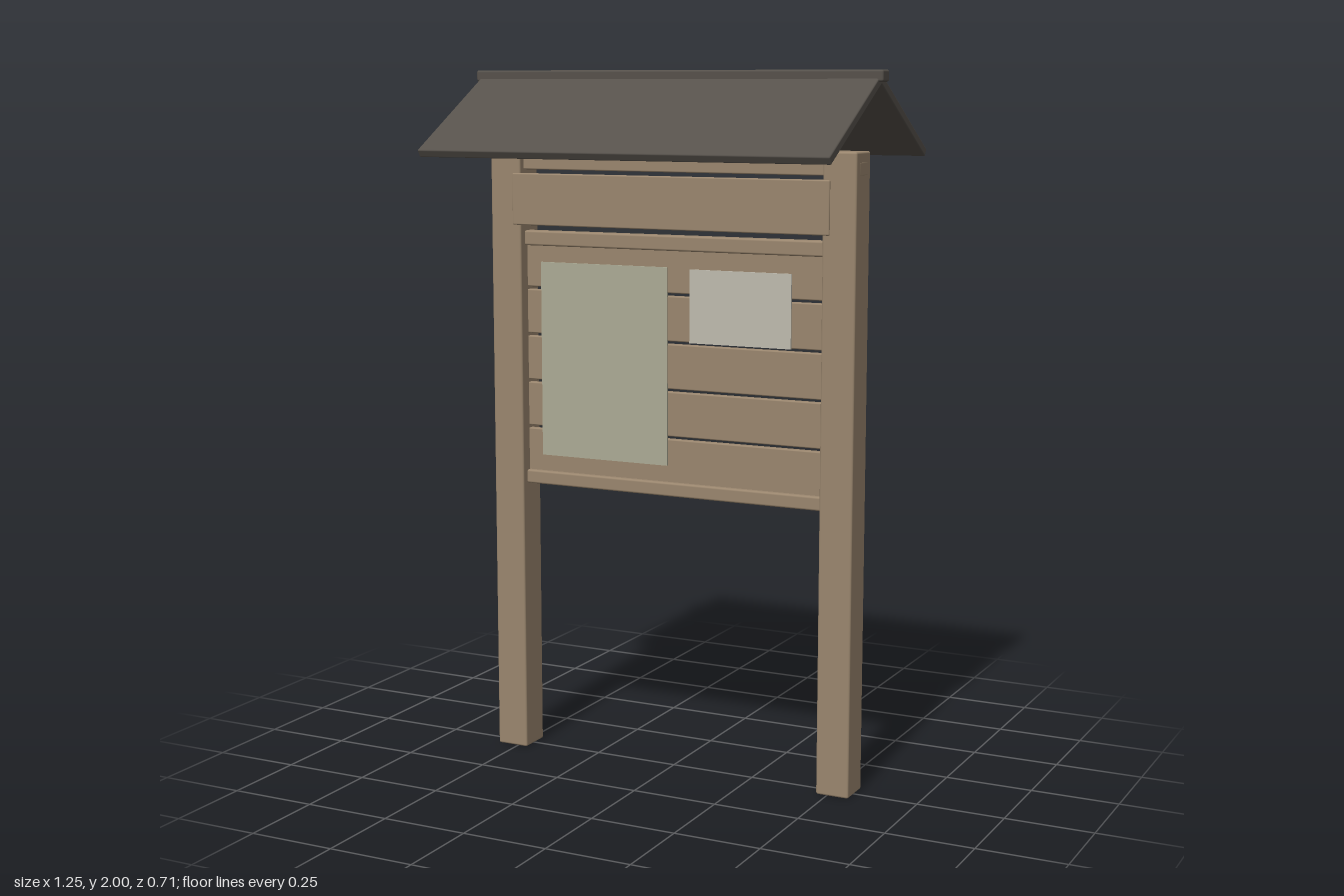
import * as THREE from 'three';
import { RoundedBoxGeometry } from 'three/addons/geometries/RoundedBoxGeometry.js';

const wood = new THREE.MeshStandardMaterial({ color: 0x9a866e });
const slate = new THREE.MeshStandardMaterial({ color: 0x56514b });
const greenPaper = new THREE.MeshStandardMaterial({ color: 0xacab95 });
const whitePaper = new THREE.MeshStandardMaterial({ color: 0xbfbbae });

// Softly bevelled block given by its [min, max] range on each axis
function block(name, material, [x0, x1], [y0, y1], [z0, z1], bevel = 0.004) {
  const w = x1 - x0, h = y1 - y0, d = z1 - z0;
  const geometry = bevel
    ? new RoundedBoxGeometry(w, h, d, 2, bevel)
    : new THREE.BoxGeometry(w, h, d);
  const mesh = new THREE.Mesh(geometry, material);
  mesh.name = name;
  mesh.position.set((x0 + x1) / 2, (y0 + y1) / 2, (z0 + z1) / 2);
  return mesh;
}

export function createModel() {
  const model = new THREE.Group();
  model.name = 'noticeBoard';

  // Posts
  model.add(
    block('leftPost', wood, [0.468, 0.565], [0, 1.785], [-0.05, 0.05], 0.006),
    block('rightPost', wood, [-0.565, -0.468], [0, 1.785], [-0.05, 0.05], 0.006),
  );

  // Top beam and the header board lapped over the posts
  model.add(
    block('topBeam', wood, [-0.5655, 0.5655], [1.72, 1.758], [-0.03, 0.03]),
    block('headerBoard', wood, [-0.492, 0.49], [1.562, 1.71], [0.034, 0.055]),
  );

  // Horizontal planks with narrow gaps between them
  const planks = new THREE.Group();
  planks.name = 'planks';
  const pitch = 0.136, first = 0.838;
  for (let i = 0; i < 5; i++) {
    const y0 = first + i * pitch;
    const y1 = i === 4 ? 1.545 : y0 + pitch - 0.008;
    planks.add(block('plank', wood, [-0.47, 0.47], [y0, y1], [-0.008, 0.013]));
  }
  model.add(planks);

  // Rails framing the display area
  model.add(
    block('upperRail', wood, [-0.47, 0.47], [1.502, 1.545], [0, 0.028], 0.006),
    block('lowerRail', wood, [-0.47, 0.47], [0.803, 0.843], [-0.006, 0.028], 0.006),
  );

  // Pinned sheets
  model.add(
    block('largeNotice', greenPaper, [-0.42, -0.013], [0.89, 1.455], [0.012, 0.018], 0),
    block('smallNotice', whitePaper, [0.057, 0.366], [1.245, 1.452], [0.012, 0.018], 0),
  );

  // Pitched roof: two mirrored panels and a ridge cap
  const roof = new THREE.Group();
  roof.name = 'roof';
  const run = 0.352, rise = 0.204;
  for (const side of [1, -1]) {
    const panel = new THREE.Mesh(
      new RoundedBoxGeometry(1.226, 0.024, Math.hypot(run, rise), 2, 0.004), slate);
    panel.name = side > 0 ? 'frontRoofPanel' : 'backRoofPanel';
    panel.position.set(0, 1.976 - rise / 2, side * run / 2);
    panel.rotation.x = side * Math.atan2(rise, run);
    roof.add(panel);
  }
  roof.add(block('ridgeCap', slate, [-0.625, 0.625], [1.968, 2], [-0.024, 0.024], 0.006));
  model.add(roof);

  return model;
}
